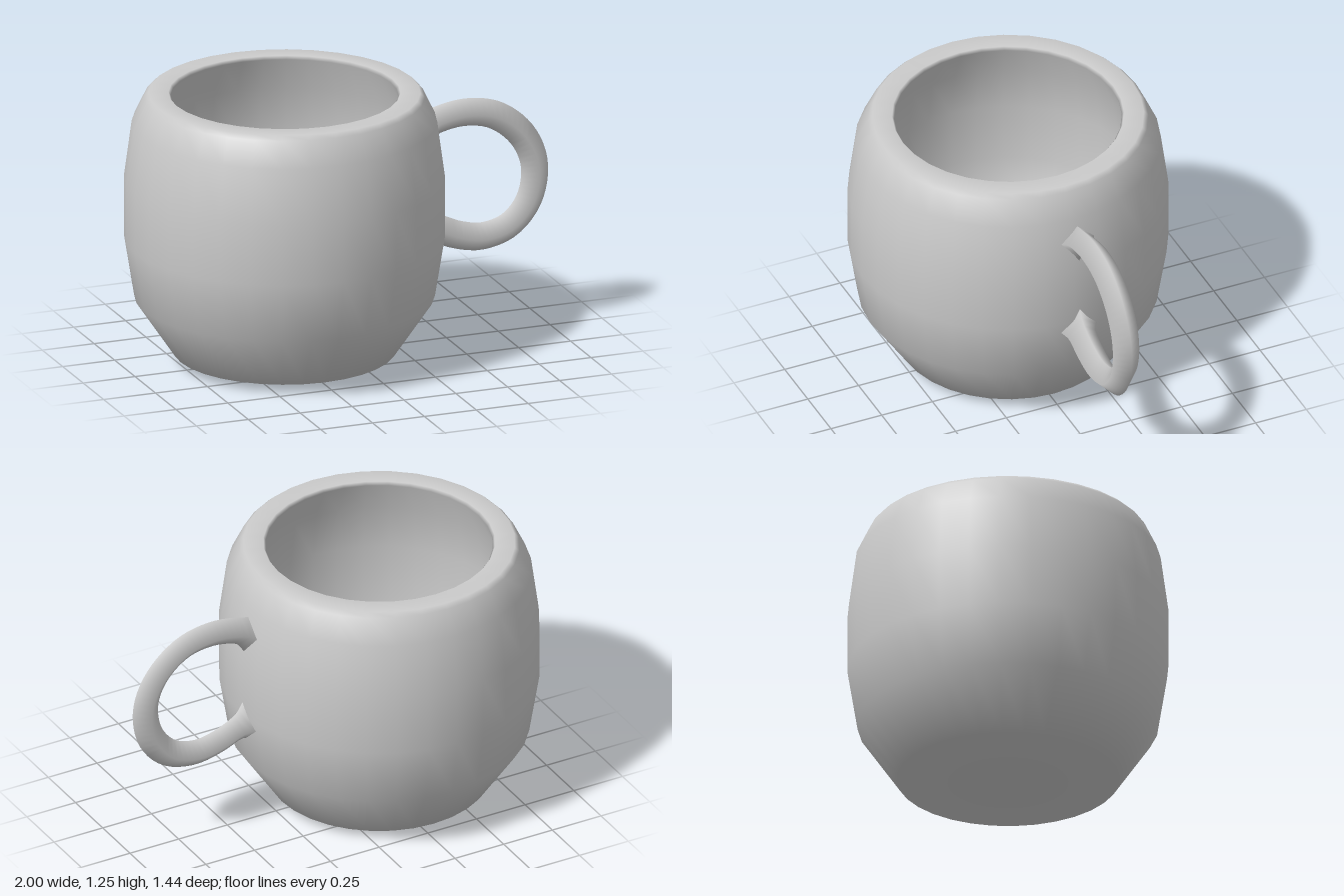
import * as THREE from 'three';

const material = new THREE.MeshStandardMaterial({ color: 0xcccccc });
const CENTER_X = -0.28;

// Barrel-shaped cup: outer wall, rim and inner wall in one closed profile
function createCup() {
  const profile = [
    [0, 0], [0.5, 0.04], [0.675, 0.3], [0.72, 0.58], [0.72, 0.86], [0.685, 1.12],
    [0.63, 1.235], [0.61, 1.255], [0.52, 1.255], [0.51, 1.24],
    [0.58, 1.08], [0.61, 0.86], [0.61, 0.58], [0.57, 0.35], [0.42, 0.15], [0, 0.12],
  ].map(([r, y]) => new THREE.Vector2(r, y));
  const cup = new THREE.Mesh(new THREE.LatheGeometry(profile, 32), material);
  cup.name = 'cup';
  cup.position.x = CENTER_X;
  return cup;
}

// Four-sided looped handle that flares where it joins the cup
function createHandle() {
  const path = new THREE.CatmullRomCurve3([
    [0.38, 0.99], [0.47, 1.026], [0.6, 1.045], [0.74, 1.017], [0.86, 0.925],
    [0.924, 0.81], [0.935, 0.7], [0.9, 0.58], [0.81, 0.485], [0.68, 0.45],
    [0.56, 0.472], [0.47, 0.51], [0.4, 0.535],
  ].map(([x, y]) => new THREE.Vector3(x, y, 0)));
  const rings = 48, sides = 4, radius = 0.065;
  const geometry = new THREE.TubeGeometry(path, rings, radius, sides);

  // Widen the rings near both ends
  const position = geometry.attributes.position;
  const vertex = new THREE.Vector3();
  for (let i = 0; i <= rings; i++) {
    const t = i / rings;
    const end = Math.max(0, 1 - Math.min(t, 1 - t) / 0.06);
    const middle = path.getPointAt(t);
    for (let j = 0; j <= sides; j++) {
      const k = i * (sides + 1) + j;
      vertex.fromBufferAttribute(position, k).sub(middle);
      vertex.multiplyScalar(1 + 0.7 * end * end).add(middle);
      position.setXYZ(k, vertex.x, vertex.y, vertex.z);
    }
  }
  const handle = new THREE.Mesh(geometry, material);
  handle.name = 'handle';
  handle.position.z = -0.027;
  return handle;
}

export function createModel() {
  const mug = new THREE.Group();
  mug.name = 'mug';
  mug.add(createCup(), createHandle());
  return mug;
}
